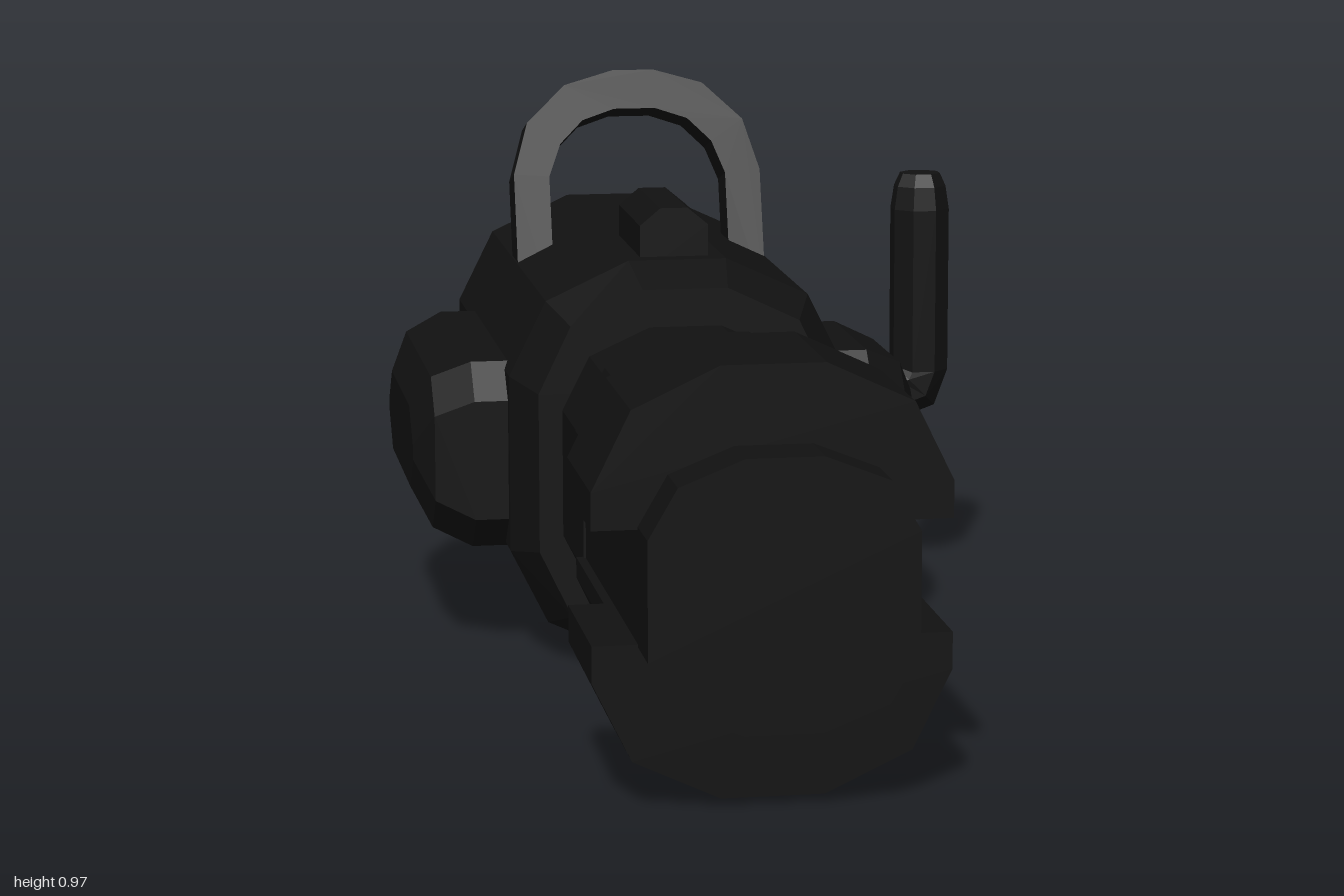
import * as THREE from 'three';

const CX = -0.072, CY = 0.352; // long axis of the main body
const mat = new THREE.MeshStandardMaterial({ color: 0x111111, flatShading: true });

// Skin a list of closed rings (arrays of [x, y, z]) and cap both ends
function loft(rings) {
  const pos = [], n = rings[0].length;
  const tri = (a, b, c) => pos.push(...a, ...b, ...c);
  for (let i = 0; i < rings.length - 1; i++) {
    for (let j = 0; j < n; j++) {
      const k = (j + 1) % n;
      tri(rings[i][j], rings[i][k], rings[i + 1][k]);
      tri(rings[i][j], rings[i + 1][k], rings[i + 1][j]);
    }
  }
  const first = rings[0], last = rings[rings.length - 1];
  for (let j = 1; j < n - 1; j++) {
    tri(first[0], first[j + 1], first[j]);
    tri(last[0], last[j], last[j + 1]);
  }
  const g = new THREE.BufferGeometry();
  g.setAttribute('position', new THREE.Float32BufferAttribute(pos, 3));
  g.computeVertexNormals();
  return g;
}

// Twelve-sided section with half width hx and half height hy, counter-clockwise
const QUADRANT = [[1, 0.44], [0.78, 0.81], [0.29, 1]];
function section(hx, hy) {
  const q = QUADRANT, r = [...QUADRANT].reverse();
  return [
    ...q, ...r.map(([x, y]) => [-x, y]),
    ...q.map(([x, y]) => [-x, -y]), ...r.map(([x, y]) => [x, -y]),
  ].map(([x, y]) => [x * hx, y * hy]);
}

// Loft along z from [z, halfWidth, halfHeight] steps, back to front
const hull = (steps) => loft(steps.map(([z, hx, hy]) =>
  section(hx, hy).map(([x, y]) => [CX + x, CY + y, z])));

function extrude(points, depth) {
  const shape = new THREE.Shape(points.map(([x, y]) => new THREE.Vector2(x, y)));
  return new THREE.ExtrudeGeometry(shape, { depth, bevelEnabled: false });
}

// Rounded side pod growing towards +x, centred on its own y and z
function pod(hy, hz, depth) {
  const c = 0.06;
  const ring = (x, inset) => {
    const a = hy - inset, b = hz - inset;
    return [[a, -b + c], [a, b - c], [a - c, b], [-a + c, b],
      [-a, b - c], [-a, -b + c], [-a + c, -b], [a - c, -b]].map(([y, z]) => [x, y, z]);
  };
  return loft([ring(0, 0), ring(depth - 0.1, 0), ring(depth - 0.033, 0.03), ring(depth, 0.092)]);
}

export function createModel() {
  const model = new THREE.Group();
  const add = (name, geometry, parent = model) => {
    const mesh = new THREE.Mesh(geometry, mat);
    mesh.name = name;
    parent.add(mesh);
    return mesh;
  };

  // Main housing with chamfered front, and tapered rear cap
  add('body', hull([[-0.85, 0.295, 0.352], [-0.04, 0.295, 0.352], [0.05, 0.255, 0.315]]));
  add('rearCap', hull([[-1, 0.18, 0.22], [-0.965, 0.21, 0.232], [-0.84, 0.215, 0.275]]));

  // Barrel core and collar
  add('barrelCore', hull([[0, 0.21, 0.215], [1, 0.21, 0.215]]));
  add('barrelCollar', hull([[0, 0.214, 0.25], [0.31, 0.214, 0.25]]));

  // Upper and lower barrel covers, leaving a slot along each side
  const covers = [[0.3, 0.63, 0.225, 0.283], [0.63, 0.9, 0.282, 0.34]];
  for (const [z0, z1, hx, hy] of covers) {
    for (const side of [1, -1]) {
      const top = section(hx, hy).slice(0, 6);
      const outline = [[hx, 0.09], ...top, [-hx, 0.09]].map(([x, y]) => [x, y * side]);
      const cover = add(side > 0 ? 'upperBarrelCover' : 'lowerBarrelCover', extrude(outline, z1 - z0));
      cover.position.set(CX, CY, z0);
    }
  }

  // Side pods
  const leftPod = add('leftPod', pod(0.165, 0.21, 0.23));
  leftPod.position.set(0.15, 0.355, -0.27);
  const rightPod = add('rightPod', pod(0.165, 0.32, 0.23));
  rightPod.position.set(-0.295, 0.355, -0.38);
  rightPod.rotation.y = Math.PI;

  // Sight rail on top
  const rail = add('topRail', extrude(
    [[-0.06, -0.03], [0.06, -0.03], [0.06, 0.057], [0.024, 0.087], [-0.024, 0.087], [-0.06, 0.057]], 0.255));
  rail.position.set(CX, 0.702, -0.33);

  // Arched carrying handle, leaning back
  const outer = [[0.228, -0.06], [0.228, 0.19], [0.2, 0.285], [0.128, 0.354], [0.038, 0.38]];
  const inner = [[0.163, -0.06], [0.163, 0.185], [0.14, 0.245], [0.097, 0.288], [0.038, 0.308]];
  const flip = (pts) => pts.map(([x, y]) => [-x, y]).reverse();
  const arch = extrude([...outer, ...flip(outer), ...flip(inner).reverse(), ...[...inner].reverse()], 0.08);
  arch.translate(0, 0, -0.04);
  const handle = add('carryHandle', arch);
  handle.position.set(CX, 0.6, -0.49);
  handle.rotation.x = -0.3;

  // Bent side grip: each step is x, y, heading, scale
  const bend = [
    [0.15, 0.36, 0, 1], [0.43, 0.36, 0, 1], [0.459, 0.371, Math.PI / 4, 1.05],
    [0.471, 0.4, Math.PI / 2, 1], [0.471, 0.705, Math.PI / 2, 1],
    [0.471, 0.748, Math.PI / 2, 0.88], [0.471, 0.772, Math.PI / 2, 0.68],
  ];
  add('sideGrip', loft(bend.map(([x, y, a, s]) => Array.from({ length: 8 }, (_, i) => {
    const t = (i + 0.5) * Math.PI / 4;
    const u = 0.056 * s * Math.cos(t), w = 0.051 * s * Math.sin(t);
    return [x - Math.sin(a) * u, y + Math.cos(a) * u, -0.565 + w];
  }))));

  return model;
}
